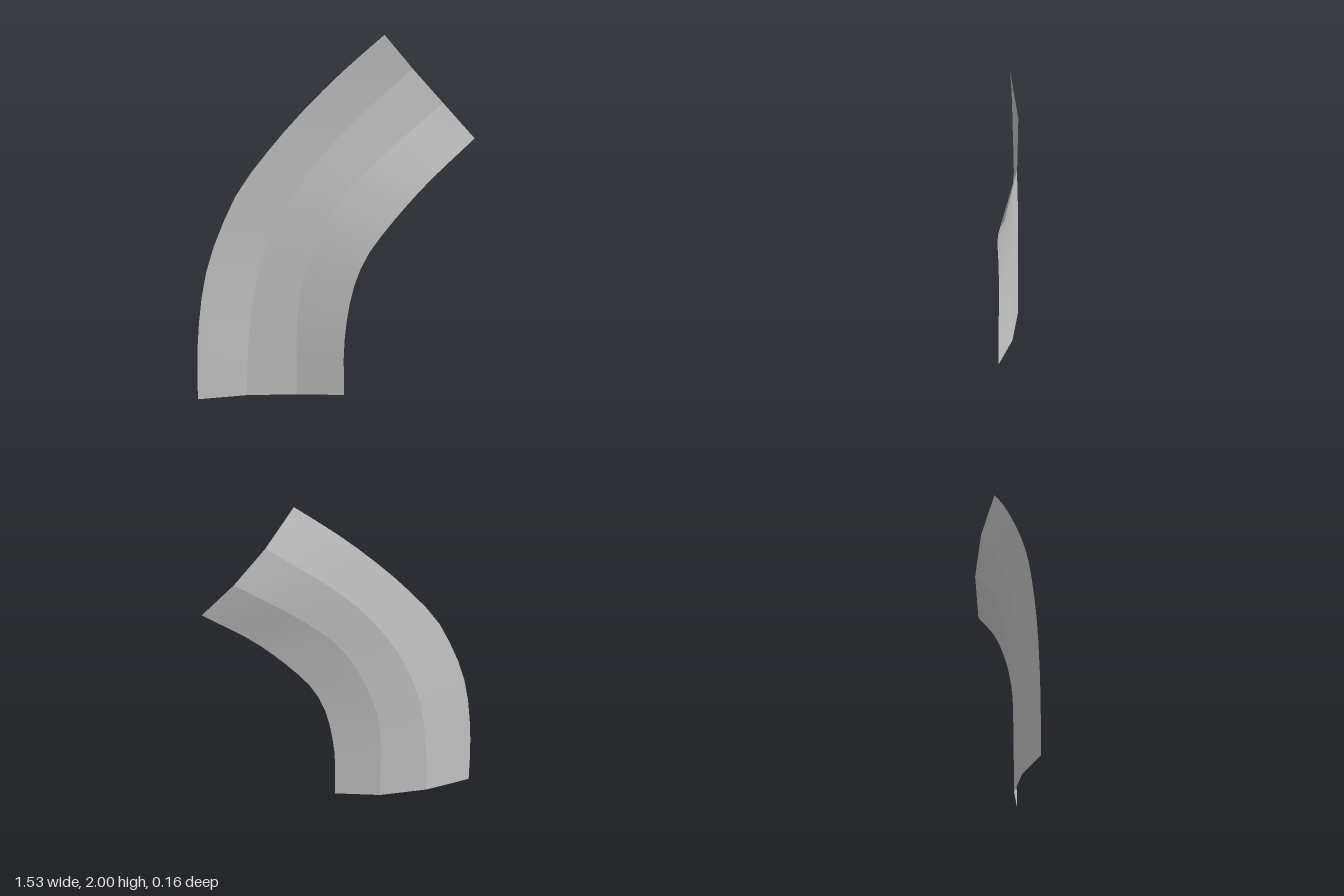
import * as THREE from 'three';

// Four lengthwise edges of the curved trough, from outer rim to inner rim
const rails = [
  [[-0.77, 0, 0.057], [-0.767, 0.28, 0.06], [-0.735, 0.6, 0.058], [-0.69, 0.8, 0.055], [-0.605, 1.02, 0.05],
    [-0.525, 1.18, 0.045], [-0.39, 1.36, 0.036], [-0.235, 1.54, 0.023], [0.005, 1.78, 0.005], [0.26, 2, -0.013]],
  [[-0.5, 0, 0.013], [-0.48, 0.38, 0.011], [-0.435, 0.67, 0.007], [-0.34, 0.94, 0.002],
    [-0.205, 1.18, -0.006], [0.005, 1.44, -0.024], [0.42, 1.81, -0.07]],
  [[-0.22, 0, 0.02], [-0.205, 0.54, 0.015], [-0.13, 0.8, 0.01], [0, 1.07, 0.002],
    [0.19, 1.28, -0.018], [0.59, 1.62, -0.08]],
  [[0.04, 0.01, 0.077], [0.04, 0.28, 0.074], [0.06, 0.47, 0.07], [0.1, 0.65, 0.065], [0.165, 0.8, 0.06],
    [0.27, 0.945, 0.052], [0.48, 1.18, 0.026], [0.76, 1.43, -0.035]],
];
const STEPS = 16;

// Ruled strip of quads between two rails, facing the front
function strip(a, b) {
  const positions = [], index = [];
  for (let i = 0; i <= STEPS; i++) {
    positions.push(...a[i].toArray(), ...b[i].toArray());
    if (i < STEPS) {
      const k = i * 2;
      index.push(k, k + 1, k + 3, k, k + 3, k + 2);
    }
  }
  const geometry = new THREE.BufferGeometry();
  geometry.setAttribute('position', new THREE.Float32BufferAttribute(positions, 3));
  geometry.setIndex(index);
  geometry.computeVertexNormals();
  return geometry;
}

export function createModel() {
  const group = new THREE.Group();
  group.name = 'curvedTrough';
  const grey = new THREE.MeshStandardMaterial({ color: 0xcccccc, side: THREE.DoubleSide });
  grey.name = 'lightGrey';

  const lines = rails.map((points) =>
    new THREE.CatmullRomCurve3(points.map((p) => new THREE.Vector3(...p))).getSpacedPoints(STEPS));

  // Three long facets, smooth along the bend with a crease between them
  ['outerFacet', 'middleFacet', 'innerFacet'].forEach((name, i) => {
    const mesh = new THREE.Mesh(strip(lines[i], lines[i + 1]), grey);
    mesh.name = name;
    group.add(mesh);
  });
  return group;
}
